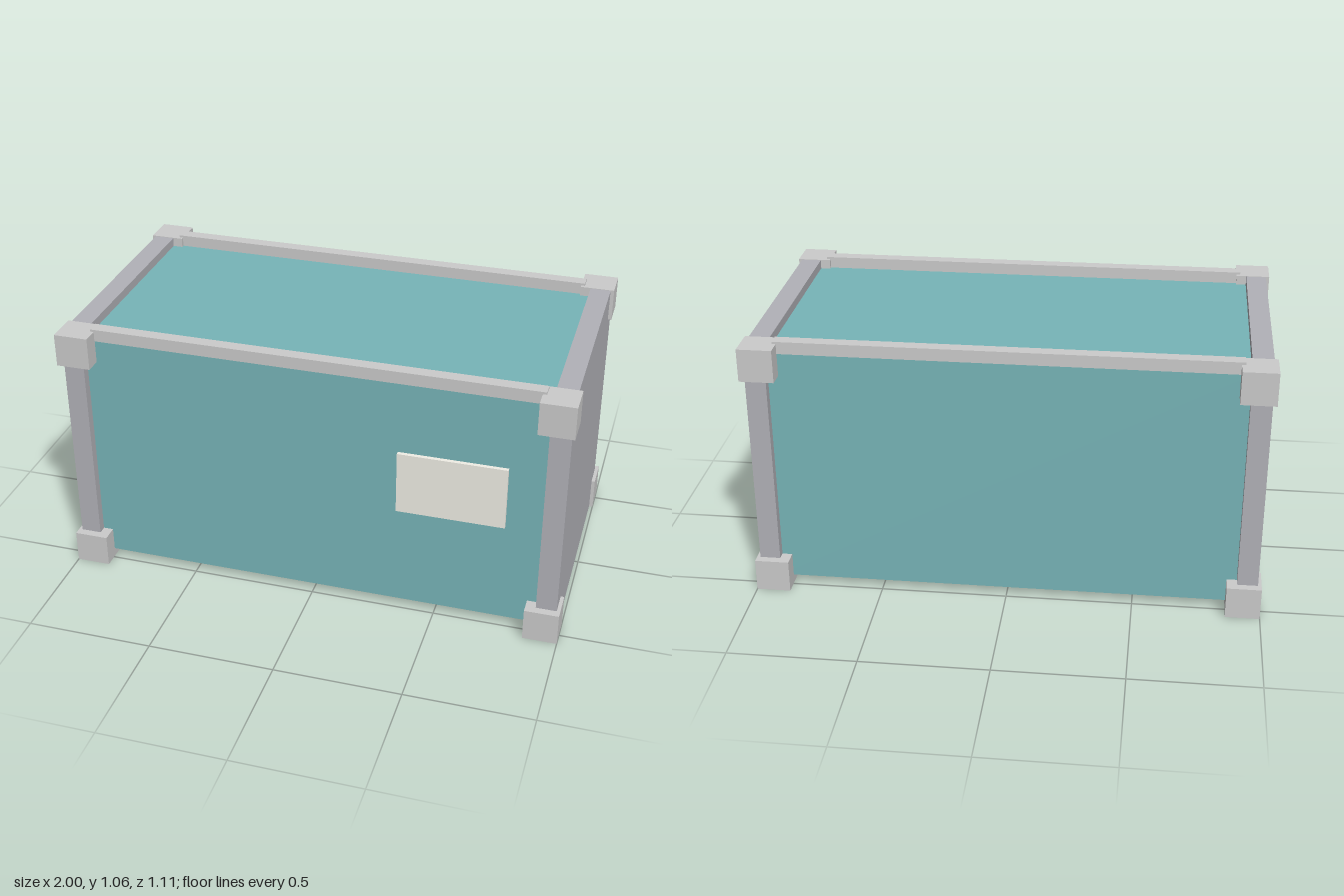
import * as THREE from 'three';

const grey = new THREE.MeshStandardMaterial({ color: 0xcccccc });
const endGrey = new THREE.MeshStandardMaterial({ color: 0xb2b2b8 });
const teal = new THREE.MeshStandardMaterial({ color: 0x77b5b8 });
const cream = new THREE.MeshStandardMaterial({ color: 0xf0eee6 });

// Box given by its extents along each axis
function addBox(parent, name, material, [x0, x1], [y0, y1], [z0, z1]) {
  const mesh = new THREE.Mesh(new THREE.BoxGeometry(x1 - x0, y1 - y0, z1 - z0), material);
  mesh.position.set((x0 + x1) / 2, (y0 + y1) / 2, (z0 + z1) / 2);
  mesh.name = name;
  parent.add(mesh);
  return mesh;
}

// Extent mirrored to the chosen side of zero
const side = (s, a, b) => (s > 0 ? [a, b] : [-b, -a]);

export function createModel() {
  const model = new THREE.Group();
  model.name = 'shippingContainer';

  // Main body
  addBox(model, 'body', teal, [-0.91, 0.91], [0.035, 1.01], [-0.487, 0.487]);

  for (const s of [1, -1]) {
    const sx = s > 0 ? 'left' : 'right';
    const sz = s > 0 ? 'front' : 'back';

    // End walls stand proud of the body
    addBox(model, `${sx}EndWall`, endGrey, side(s, 0.905, 0.986), [0.003, 1.046], [-0.522, 0.522]);

    // Long rails along the roof edges
    addBox(model, `${sz}TopRail`, grey, [-0.88, 0.88], [1.008, 1.057], side(s, 0.439, 0.489));

    // Corner fittings
    for (const t of [1, -1]) {
      const tz = t > 0 ? 'Front' : 'Back';
      addBox(model, `${sx}${tz}BottomCorner`, grey, side(s, 0.865, 1), [0, 0.131], side(t, 0.425, 0.554));
      addBox(model, `${sx}${tz}TopCorner`, grey, side(s, 0.865, 1), [0.917, 1.048], side(t, 0.425, 0.554));
    }
  }

  // Thin sign held just off the front wall
  addBox(model, 'signPlate', cream, [0.342, 0.764], [0.465, 0.721], [0.495, 0.511]);

  return model;
}
